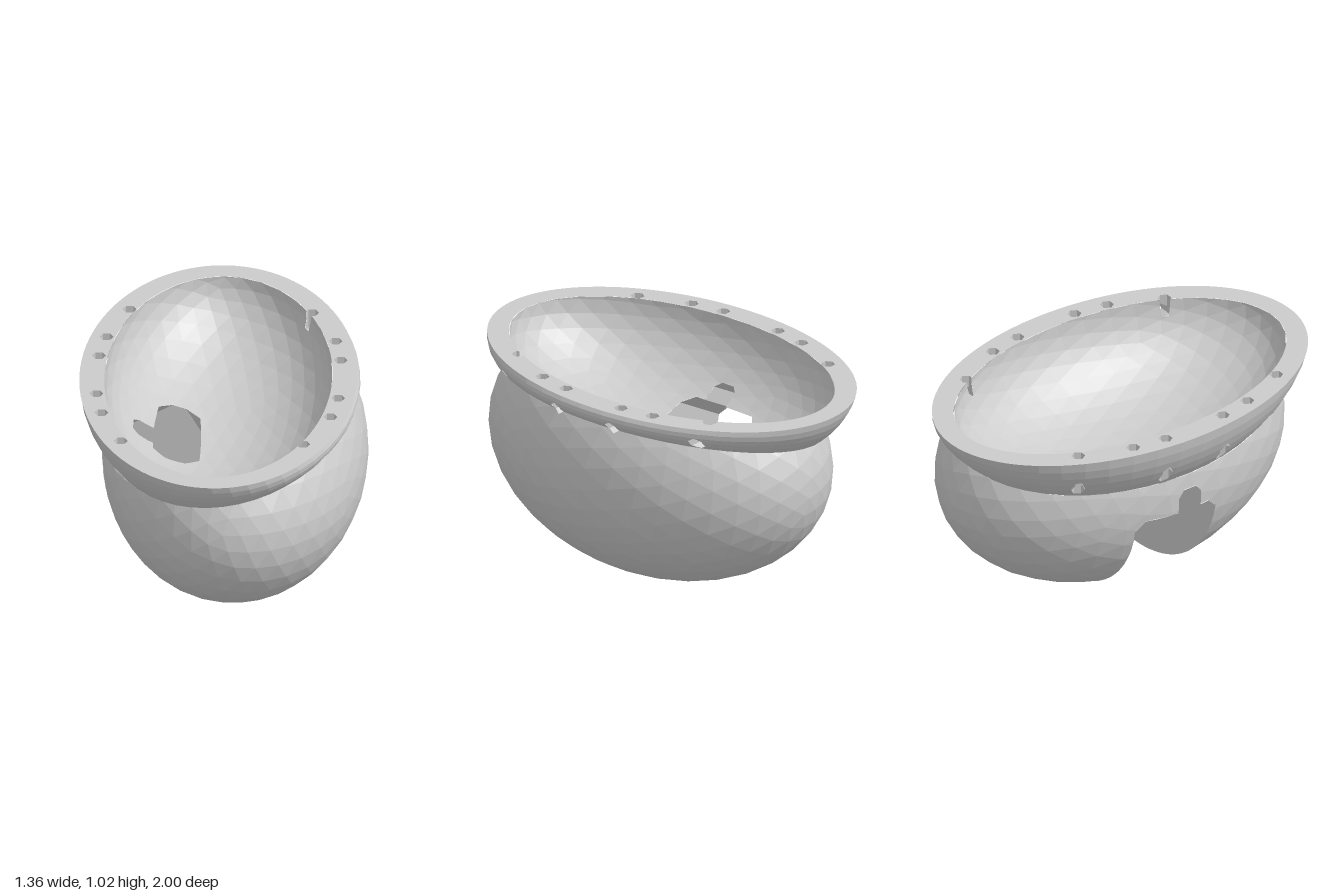
import * as THREE from 'three';

const V = (x, y, z) => new THREE.Vector3(x, y, z);
const RIM_Y = 1.03, SEGS = 48;
const seamY = (x) => 0.842 + 0.16 * x;

// Collar cross-section: seam ellipse (t = 0) to rim ellipse (t = 1), slightly bulged
function collarRing(t) {
  const bulge = 0.1 * t * (1 - t);
  return { cx: 0.02 - 0.05 * t, rx: 0.58 + 0.075 * t + bulge, rz: 0.866 + 0.134 * t + bulge };
}

// Implicit surfaces: negative inside
function outside(p) {
  if (p.y < seamY(p.x)) {
    return ((p.x - 0.05) / 0.628) ** 2 + ((p.y - 0.625) / 0.625) ** 2 + (p.z / 0.925) ** 2 - 1;
  }
  const t = Math.min(1, (p.y - seamY(p.x)) / (RIM_Y - seamY(p.x)));
  const { cx, rx, rz } = collarRing(t);
  return ((p.x - cx) / rx) ** 2 + (p.z / rz) ** 2 - 1;
}
const inBowl = (p) =>
  ((p.x + 0.03) / 0.537) ** 2 + ((p.y - RIM_Y) / 0.41) ** 2 + (p.z / 0.9) ** 2 - 1;

// Triangle helpers
function trianglesOf(geometry) {
  const pos = (geometry.index ? geometry.toNonIndexed() : geometry).attributes.position;
  const tris = [];
  for (let i = 0; i < pos.count; i += 3) {
    tris.push([0, 1, 2].map((k) => V().fromBufferAttribute(pos, i + k)));
  }
  return tris;
}

// Splits triangles along f = 0 into [negative side, positive side]
function split(tris, f) {
  const sides = [[], []];
  for (const tri of tris) {
    const d = tri.map(f);
    const polys = [[], []];
    for (let i = 0; i < 3; i++) {
      const j = (i + 1) % 3;
      polys[d[i] < 0 ? 0 : 1].push(tri[i]);
      if (d[i] < 0 !== d[j] < 0) {
        const cut = tri[i].clone().lerp(tri[j], d[i] / (d[i] - d[j]));
        polys[0].push(cut);
        polys[1].push(cut);
      }
    }
    polys.forEach((p, s) => {
      for (let k = 2; k < p.length; k++) sides[s].push([p[0], p[k - 1], p[k]]);
    });
  }
  return sides;
}

// Removes the convex volume of a cutter (list of planes facing out of it)
function carve(tris, cutter) {
  const kept = [];
  let rest = [];
  for (const tri of tris) {
    const clear = cutter.planes.some((pl) => tri.every((p) => pl.distanceToPoint(p) >= 0));
    (clear ? kept : rest).push(tri);
  }
  for (const pl of cutter.planes) {
    const [neg, pos] = split(rest, (p) => pl.distanceToPoint(p));
    for (const tri of pos) kept.push(tri);
    rest = neg;
  }
  return kept;
}

const planeAt = (normal, point) =>
  new THREE.Plane().setFromNormalAndCoplanarPoint(normal.clone().normalize(), point);

// Slanted side opening: s runs out of the body, t up the sloping back wall
function openingCutter(top, z0, z1, chamfer) {
  const O = V(-0.11, 0.62, 0), D = V(-0.87, -0.493, 0), T = V(-0.493, 0.87, 0);
  const at = (s, t, z) => O.clone().addScaledVector(D, s).addScaledVector(T, t).setZ(z);
  const planes = [planeAt(D.clone().negate(), O), planeAt(T, at(0, top, 0))];
  for (const [z, sign] of [[z0, -1], [z1, 1]]) {
    const Z = V(0, 0, sign);
    planes.push(planeAt(Z, at(0, 0, z)));
    planes.push(planeAt(T.clone().add(Z), at(0, top - chamfer, z)));
    planes.push(planeAt(Z.clone().sub(D), at(chamfer, 0, z)));
  }
  return { planes, center: V(-0.25, 0.4, (z0 + z1) / 2), size: 2.2, grid: 44 };
}

// Six-sided drill hole starting at its closed end and running along an axis
function drillCutter(end, axis, length) {
  const side = V(0, 0, 1), up = V().crossVectors(axis, side);
  const planes = [planeAt(axis.clone().negate(), end)];
  for (let i = 0; i < 6; i++) {
    const a = (i * Math.PI) / 3;
    const n = side.clone().multiplyScalar(Math.cos(a)).addScaledVector(up, Math.sin(a));
    planes.push(planeAt(n, end.clone().addScaledVector(n, 0.029)));
  }
  return { planes, center: end.clone().addScaledVector(axis, length / 2), size: length + 0.1, grid: 14 };
}

// Cavity walls of one cutter, limited to the solid and to space other cutters leave
function wallsOf(cutter, others) {
  let all = [];
  cutter.planes.forEach((pl) => {
    const g = new THREE.PlaneGeometry(cutter.size, cutter.size, cutter.grid, cutter.grid);
    const q = new THREE.Quaternion().setFromUnitVectors(V(0, 0, 1), pl.normal.clone().negate());
    const c = pl.projectPoint(cutter.center, V());
    g.applyQuaternion(q).translate(c.x, c.y, c.z);
    let tris = trianglesOf(g);
    for (const o of cutter.planes) if (o !== pl) tris = split(tris, (p) => o.distanceToPoint(p))[0];
    tris = split(tris, (p) => p.y - RIM_Y)[0];
    tris = split(tris, outside)[0];
    tris = split(tris, inBowl)[1];
    all = all.concat(tris);
  });
  return others.reduce(carve, all);
}

function faceted(name, tris, side = THREE.FrontSide) {
  const g = new THREE.BufferGeometry().setFromPoints(tris.flat());
  g.computeVertexNormals();
  const mat = new THREE.MeshStandardMaterial({ color: 0xcccccc, flatShading: true, side });
  const mesh = new THREE.Mesh(g, mat);
  mesh.name = name;
  return mesh;
}

const facetBall = () => new THREE.IcosahedronGeometry(1, 6).rotateX(0.4).rotateZ(0.3);

// Collar skin lofted through rings from the seam to the rim
function collarGeometry() {
  const rows = 5, pts = [], index = [];
  for (let r = 0; r <= rows; r++) {
    const t = r / rows, { cx, rx, rz } = collarRing(t);
    for (let i = 0; i < SEGS; i++) {
      const a = (i / SEGS) * Math.PI * 2, x = cx + rx * Math.cos(a);
      const y0 = seamY(0.02 + 0.58 * Math.cos(a));
      pts.push(V(x, y0 + (RIM_Y - y0) * t, rz * Math.sin(a)));
      if (r < rows) {
        const j = (i + 1) % SEGS, b = r * SEGS, u = b + SEGS;
        index.push(b + i, u + i, b + j, b + j, u + i, u + j);
      }
    }
  }
  return new THREE.BufferGeometry().setFromPoints(pts).setIndex(index);
}

// Flat top ring
function rimGeometry() {
  const shape = new THREE.Shape().absellipse(-0.03, 0, 0.655, 1, 0, Math.PI * 2);
  shape.holes.push(new THREE.Path().absellipse(-0.03, 0, 0.537, 0.9, 0, Math.PI * 2));
  return new THREE.ShapeGeometry(shape, SEGS).rotateX(-Math.PI / 2).translate(0, RIM_Y, 0);
}

export function createModel() {
  // Side opening with its notch, then the drill holes around the rim
  const cutters = [openingCutter(0.178, -0.3, 0.16, 0.05), openingCutter(0.28, -0.07, 0.06, 0.03)];
  const bolts = [[0.17, -0.6, 0.54, true], [0.34, -0.57, 0.51, false], [0.59, -0.47, 0.39, true]];
  for (const [dz, xl, xr, through] of bolts) {
    for (const z of [-dz, dz]) {
      const bottom = through ? 0.7 : 0.93;
      cutters.push(drillCutter(V(xl, bottom, z), V(0, 1, 0), RIM_Y - bottom));
      cutters.push(drillCutter(V(xr, 0.93, z), V(0, 1, 0), 0.1));
      if (through) cutters.push(drillCutter(V(xr, 0.95, z), V(1, 0, 0), 0.3));
    }
  }
  const cut = (tris) => cutters.reduce(carve, tris);

  const body = trianglesOf(facetBall().scale(0.628, 0.625, 0.925).translate(0.05, 0.625, 0));
  const bowl = trianglesOf(facetBall().scale(-0.537, 0.41, 0.9).translate(-0.03, RIM_Y, 0));

  const model = new THREE.Group();
  model.name = 'flangedBowl';
  model.add(
    faceted('outerBowl', cut(split(body, (p) => p.y - seamY(p.x))[0])),
    faceted('innerBowl', cut(split(bowl, (p) => p.y - RIM_Y)[0])),
    faceted('collar', cut(trianglesOf(collarGeometry()))),
    faceted('rim', cut(trianglesOf(rimGeometry()))),
  );
  cutters.forEach((c, i) => {
    const walls = wallsOf(c, cutters.filter((o) => o !== c));
    if (walls.length) model.add(faceted(i < 2 ? 'openingWall' : 'drillHoleWall', walls, THREE.DoubleSide));
  });
  return model;
}
